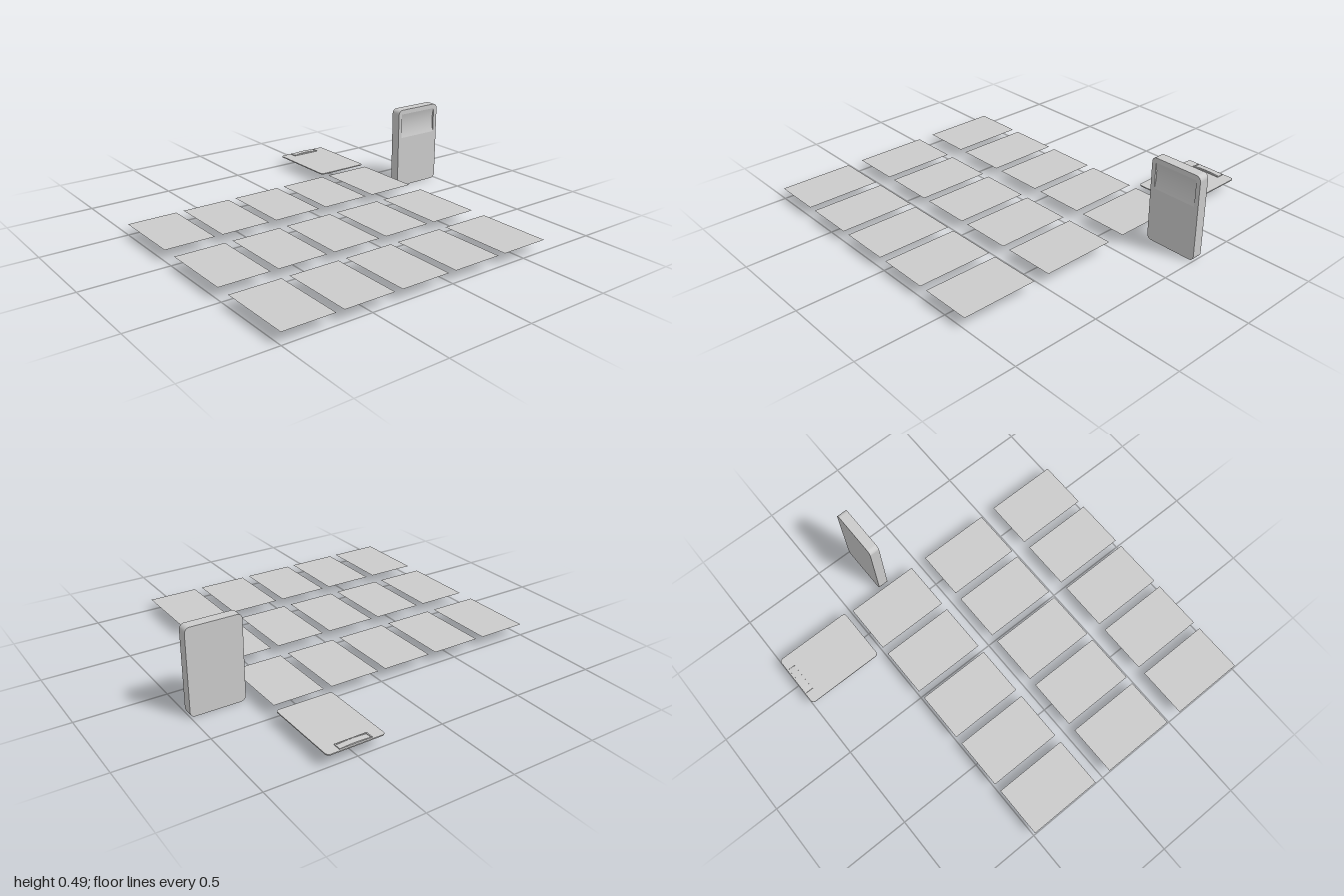
import * as THREE from 'three';

const grey = new THREE.MeshStandardMaterial({ color: 0xcccccc });
const greyDouble = new THREE.MeshStandardMaterial({ color: 0xcccccc, side: THREE.DoubleSide });

function addMesh(parent, name, geometry, x = 0, y = 0, z = 0, material = grey) {
  const mesh = new THREE.Mesh(geometry, material);
  mesh.name = name;
  mesh.position.set(x, y, z);
  parent.add(mesh);
  return mesh;
}

// Rounded rectangle centred on the origin
function roundedRect(w, h, r) {
  const s = new THREE.Shape();
  const x = w / 2 - r, y = h / 2 - r;
  s.absarc(x, y, r, 0, Math.PI / 2);
  s.absarc(-x, y, r, Math.PI / 2, Math.PI);
  s.absarc(-x, -y, r, Math.PI, Math.PI * 1.5);
  s.absarc(x, -y, r, Math.PI * 1.5, Math.PI * 2);
  s.closePath();
  return s;
}

const extrude = (shape, depth) =>
  new THREE.ExtrudeGeometry(shape, { depth, bevelEnabled: false, curveSegments: 8 });

// Upright case with a shallow scooped thumb recess in the upper front
function createCase() {
  const group = new THREE.Group();
  group.name = 'case';
  const w = 0.31, h = 0.49, r = 0.028, depth = 0.06, scoop = 0.012;
  addMesh(group, 'caseBody', extrude(roundedRect(w, h, r), depth - scoop), 0, 0, -depth / 2);

  // Front layer, open where the recess is
  const front = roundedRect(w, h, r);
  const rw = 0.26, rh = 0.15, ry = 0.143;
  const hole = new THREE.Path();
  hole.moveTo(-rw / 2, ry - rh / 2);
  hole.lineTo(-rw / 2, ry + rh / 2);
  hole.lineTo(rw / 2, ry + rh / 2);
  hole.lineTo(rw / 2, ry - rh / 2);
  hole.closePath();
  front.holes.push(hole);
  addMesh(group, 'caseFront', extrude(front, scoop), 0, 0, depth / 2 - scoop);

  // Concave floor of the recess
  const floor = new THREE.PlaneGeometry(rw, rh, 1, 12);
  const p = floor.attributes.position;
  for (let i = 0; i < p.count; i++) {
    const t = p.getY(i) / (rh / 2);
    p.setZ(i, -0.95 * scoop * (1 - t * t));
  }
  floor.computeVertexNormals();
  addMesh(group, 'caseRecess', floor, 0, ry, depth / 2);

  group.position.set(0.845, h / 2, -0.247);
  return group;
}

// Flat board with a low arched clip along its back edge
function createClipboard() {
  const group = new THREE.Group();
  group.name = 'clipboard';
  const board = extrude(roundedRect(0.326, 0.46, 0.02), 0.006);
  board.rotateX(-Math.PI / 2);
  addMesh(group, 'board', board, 0, 0, 0);

  const arch = new THREE.Shape();
  arch.moveTo(-0.09, 0.005);
  arch.lineTo(0.09, 0.005);
  arch.lineTo(0.082, 0.009);
  arch.quadraticCurveTo(0, 0.017, -0.082, 0.009);
  arch.closePath();
  addMesh(group, 'clip', extrude(arch, 0.035), 0, 0, -0.22);

  // Thin rim around the clip
  addMesh(group, 'clipFrontBar', new THREE.BoxGeometry(0.18, 0.006, 0.006), 0, 0.008, -0.178);
  for (const side of [-1, 1])
    addMesh(group, 'clipSideBar', new THREE.BoxGeometry(0.007, 0.006, 0.045), side * 0.088, 0.008, -0.198);

  group.position.set(0.505, 0.06, -0.77);
  return group;
}

// Three rows of five paper-thin cards
function createCards() {
  const group = new THREE.Group();
  group.name = 'cards';
  const card = new THREE.PlaneGeometry(0.293, 0.433);
  card.rotateX(-Math.PI / 2);
  for (const z of [-0.278, 0.257, 0.7835])
    for (let col = 0; col < 5; col++)
      addMesh(group, 'card', card, -0.8535 + col * 0.3395, 0.065, z, greyDouble);
  return group;
}

export function createModel() {
  const model = new THREE.Group();
  model.name = 'cardSet';
  model.add(createCards(), createCase(), createClipboard());
  return model;
}
